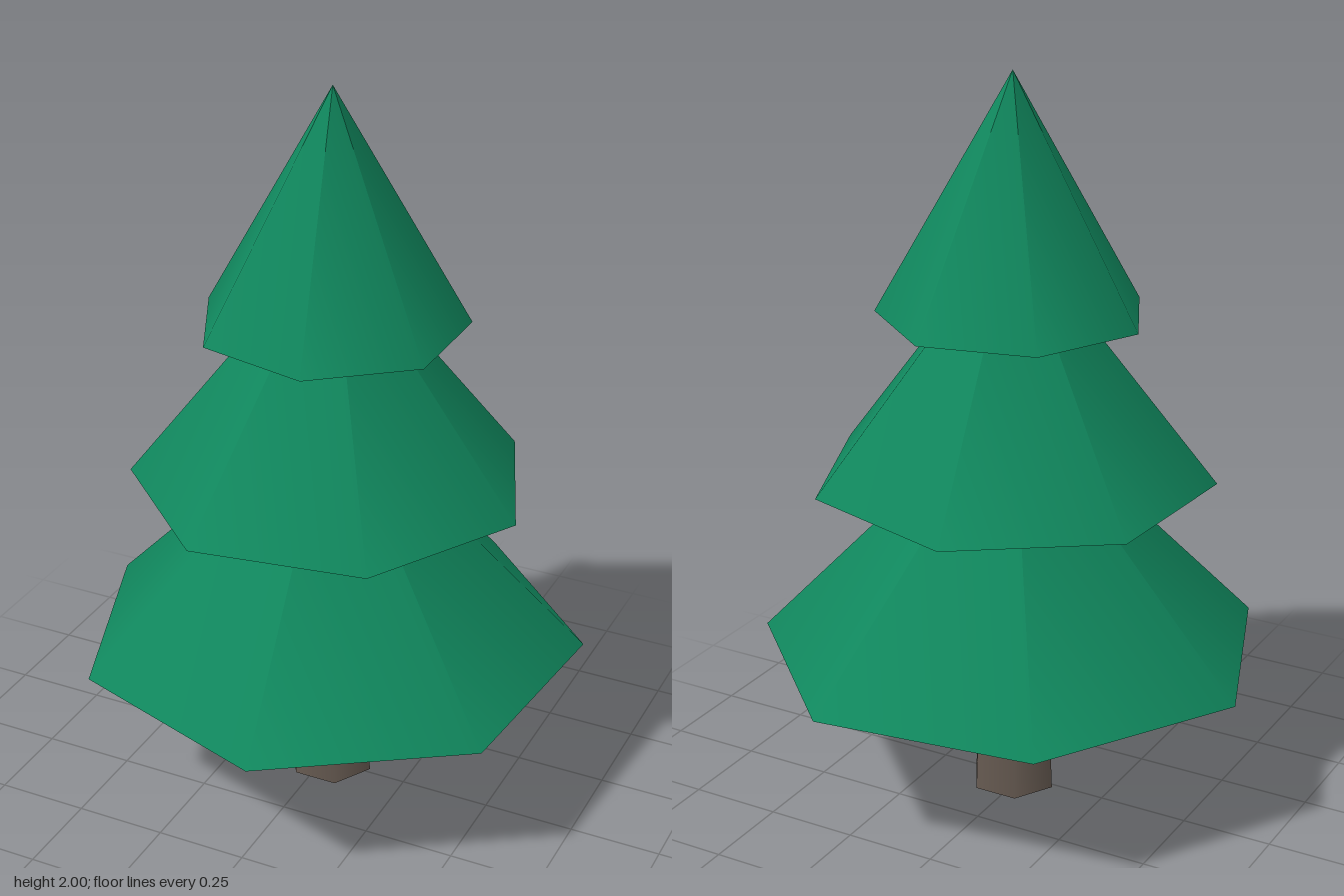
import * as THREE from 'three';

const CENTER_X = 0.019, CENTER_Z = -0.0145;

export function createModel() {
  const tree = new THREE.Group();
  tree.name = 'pineTree';

  const needles = new THREE.MeshStandardMaterial({ color: 0x10875d });
  needles.name = 'needleGreen';
  const bark = new THREE.MeshStandardMaterial({ color: 0x665a51 });
  bark.name = 'barkBrown';

  // Tapered six-sided trunk, reaching just inside the lowest tier
  const trunkHeight = 0.44;
  const trunk = new THREE.Mesh(
    new THREE.CylinderGeometry(0.104, 0.121, trunkHeight, 6, 1, false, Math.PI / 2), bark);
  trunk.name = 'trunk';
  trunk.position.set(CENTER_X, trunkHeight / 2, CENTER_Z);
  tree.add(trunk);

  // Seven-sided, smoothly shaded foliage cones, each turned differently
  const tiers = [
    { name: 'lowerFoliage', radius: 0.693, base: 0.427, tip: 1.145, turn: 0.13 },
    { name: 'middleFoliage', radius: 0.541, base: 0.915, tip: 1.6, turn: 0.605 },
    { name: 'upperFoliage', radius: 0.361, base: 1.365, tip: 2, turn: 0.2244 },
  ];
  for (const { name, radius, base, tip, turn } of tiers) {
    const cone = new THREE.Mesh(
      new THREE.ConeGeometry(radius, tip - base, 7, 1, false, turn), needles);
    cone.name = name;
    cone.position.set(CENTER_X, (base + tip) / 2, CENTER_Z);
    tree.add(cone);
  }
  return tree;
}
